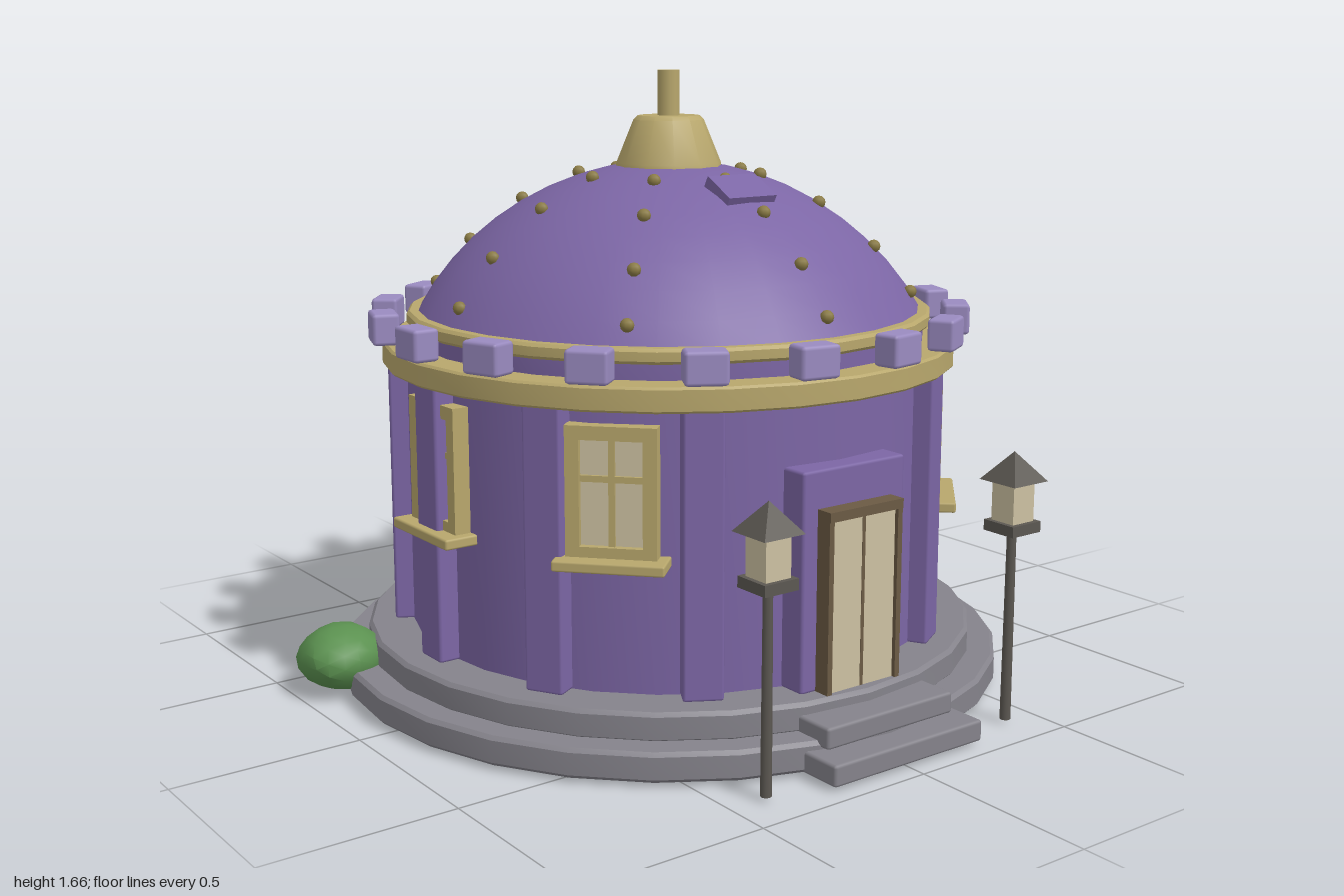
import * as THREE from 'three';
import { toCreasedNormals } from 'three/addons/utils/BufferGeometryUtils.js';
import { RoundedBoxGeometry } from 'three/addons/geometries/RoundedBoxGeometry.js';

const SIDES = 28;
const rad = THREE.MathUtils.degToRad;

function material(name, color) {
  const m = new THREE.MeshStandardMaterial({ color });
  m.name = name;
  return m;
}

export function createModel() {
  const purple = material('purple', 0x7c66a5);
  const lilac = material('lilac', 0x9a8bc0);
  const gold = material('gold', 0xb8a76c);
  const bronze = material('bronze', 0x8a7b45);
  const stone = material('stone', 0x85838b);
  const cream = material('cream', 0xcdc1a2);
  const brown = material('brown', 0x6b5a44);
  const iron = material('iron', 0x5c5852);
  const leaf = material('leaf', 0x5b9150);

  const model = new THREE.Group();
  model.name = 'domedPavilion';

  function add(parent, name, geometry, mat, x = 0, y = 0, z = 0) {
    const mesh = new THREE.Mesh(geometry, mat);
    mesh.name = name;
    mesh.position.set(x, y, z);
    parent.add(mesh);
    return mesh;
  }
  const group = (parent, name) => {
    const g = new THREE.Group();
    g.name = name;
    parent.add(g);
    return g;
  };
  // Turned shape from [radius, y] points, smooth around and sharp at edges
  const turned = (points, sides = SIDES) => toCreasedNormals(
    new THREE.LatheGeometry(points.map(([r, y]) => new THREE.Vector2(r, y)), sides), 0.6);
  // Solid disc with a small bevel on its rims
  const disc = (r, y0, y1, b = 0.01) => turned(
    [[0, y0], [r - b, y0], [r, y0 + b], [r, y1 - b], [r - b, y1], [0, y1]]);
  const block = (w, h, d, b = 0.008) => new RoundedBoxGeometry(w, h, d, 1, b);
  const box = (w, h, d) => new THREE.BoxGeometry(w, h, d);

  const building = group(model, 'building');
  building.position.z = -0.04;
  // Group turned about the axis so that its local +z points outwards
  const facing = (name, degrees) => {
    const g = group(building, name);
    g.rotation.y = rad(degrees);
    return g;
  };

  // Stone base, walls and rings
  add(building, 'lowerBase', disc(0.92, 0.015, 0.092), stone);
  add(building, 'upperBase', disc(0.845, 0.085, 0.162), stone);
  add(building, 'wall', disc(0.72, 0.15, 0.9, 0.002), purple);
  add(building, 'cornice', disc(0.785, 0.882, 0.946, 0.006), gold);
  add(building, 'drum', disc(0.7, 0.94, 1.0, 0.002), purple);
  add(building, 'domeRing', disc(0.718, 0.987, 1.026, 0.008), gold);

  // Pilasters all round, leaving the front free for the door
  for (let i = 1; i < 12; i++) {
    add(facing('pilaster', i * 30), 'pilasterShaft', block(0.103, 0.73, 0.09), purple, 0, 0.525, 0.725);
  }

  // Blocks above the cornice
  for (let i = 0; i < 18; i++) {
    add(facing('parapet', i * 20 + 10), 'parapetBlock', block(0.108, 0.084, 0.072, 0.01), lilac, 0, 0.996, 0.785);
  }

  // Windows with frame, cross bars and sill
  for (const angle of [47, 90, 145, -47, -90, -145]) {
    const w = facing('window', angle);
    add(w, 'windowPane', box(0.18, 0.29, 0.008), cream, 0, 0.675, 0.729);
    for (const s of [-1, 1]) {
      add(w, 'windowJamb', box(0.035, 0.335, 0.06), gold, s * 0.096, 0.675, 0.722);
      add(w, 'windowRail', box(0.16, 0.035, 0.06), gold, 0, 0.675 + s * 0.15, 0.722);
    }
    add(w, 'windowMullion', box(0.016, 0.27, 0.02), gold, 0, 0.675, 0.731);
    add(w, 'windowBar', box(0.16, 0.016, 0.02), gold, 0, 0.71, 0.731);
    add(w, 'windowSill', block(0.28, 0.028, 0.1, 0.006), gold, 0, 0.502, 0.745);
  }

  // Door with portal, frame and two leaves
  const door = group(building, 'door');
  add(door, 'portal', block(0.332, 0.565, 0.09), purple, 0, 0.442, 0.73);
  for (const s of [-1, 1]) {
    add(door, 'doorJamb', box(0.015, 0.465, 0.07), brown, s * 0.1125, 0.393, 0.785);
    add(door, 'doorLeaf', box(0.1, 0.445, 0.05), cream, s * 0.054, 0.383, 0.785);
  }
  add(door, 'doorLintel', box(0.24, 0.025, 0.075), brown, 0, 0.615, 0.785);
  add(door, 'doorSeam', box(0.01, 0.445, 0.052), brown, 0, 0.383, 0.785);

  // Front steps
  add(model, 'lowerStep', block(0.49, 0.056, 0.2), stone, 0, 0.043, 0.855);
  add(model, 'upperStep', block(0.415, 0.056, 0.2), stone, 0, 0.104, 0.785);

  // Dome: a spherical cap
  const R = 0.795, centreY = 0.625;
  const cap = [];
  for (let i = 0; i <= 10; i++) {
    const a = rad(61 * (1 - i / 10));
    cap.push([R * Math.sin(a), centreY + R * Math.cos(a)]);
  }
  add(building, 'dome', turned(cap), purple);
  const hatch = add(building, 'domeHatch', box(0.155, 0.08, 0.105), purple, 0, 1.338, 0.303);
  hatch.rotation.x = 0.5;

  // Studs in four rings over the dome
  const stud = new THREE.SphereGeometry(0.018, 8, 6);
  for (const r of [0.66, 0.56, 0.41, 0.25]) {
    for (let i = 0; i < 8; i++) {
      const a = i * Math.PI / 4;
      add(building, 'domeStud', stud, bronze, r * Math.sin(a), centreY + Math.sqrt(R * R - r * r) + 0.005, r * Math.cos(a));
    }
  }

  // Finial
  add(building, 'finialCone', turned(
    [[0, 1.38], [0.145, 1.4], [0.143, 1.415], [0.096, 1.53], [0.084, 1.541], [0, 1.541]], 12), gold);
  add(building, 'finialRod', new THREE.CylinderGeometry(0.03, 0.03, 0.13, 12), gold, 0, 1.597, 0);

  // Lamps either side of the steps
  for (const s of [-1, 1]) {
    const lamp = group(model, 'lamp');
    lamp.position.set(s * 0.4, 0, 0.887);
    add(lamp, 'lampPost', new THREE.CylinderGeometry(0.012, 0.014, 0.51, 8), iron, 0, 0.27, 0);
    add(lamp, 'lampTray', box(0.1, 0.028, 0.1), iron, 0, 0.534, 0);
    add(lamp, 'lampGlass', box(0.074, 0.11, 0.074), cream, 0, 0.6, 0);
    const roof = new THREE.ConeGeometry(0.085, 0.075, 4).toNonIndexed();
    roof.computeVertexNormals();
    add(lamp, 'lampRoof', roof, iron, 0, 0.69, 0).rotation.y = Math.PI / 4;
  }

  // Rounded, slightly lumpy bushes
  function bush(x, y, z, rx, ry, seed) {
    const g = new THREE.IcosahedronGeometry(1, 2);
    const p = g.attributes.position;
    const v = new THREE.Vector3();
    for (let i = 0; i < p.count; i++) {
      v.fromBufferAttribute(p, i);
      v.multiplyScalar(0.97 + 0.05 * Math.sin(3 * v.x + seed) * Math.cos(4 * v.z + 2 * v.y));
      p.setXYZ(i, v.x * rx, v.y * ry, v.z * rx);
    }
    add(model, 'bush', toCreasedNormals(g, 0.6), leaf, x, y, z);
  }
  bush(-0.88, 0.105, -0.34, 0.122, 0.088, 1);
  bush(0.865, 0.102, -0.457, 0.137, 0.102, 2.5);

  return model;
}
